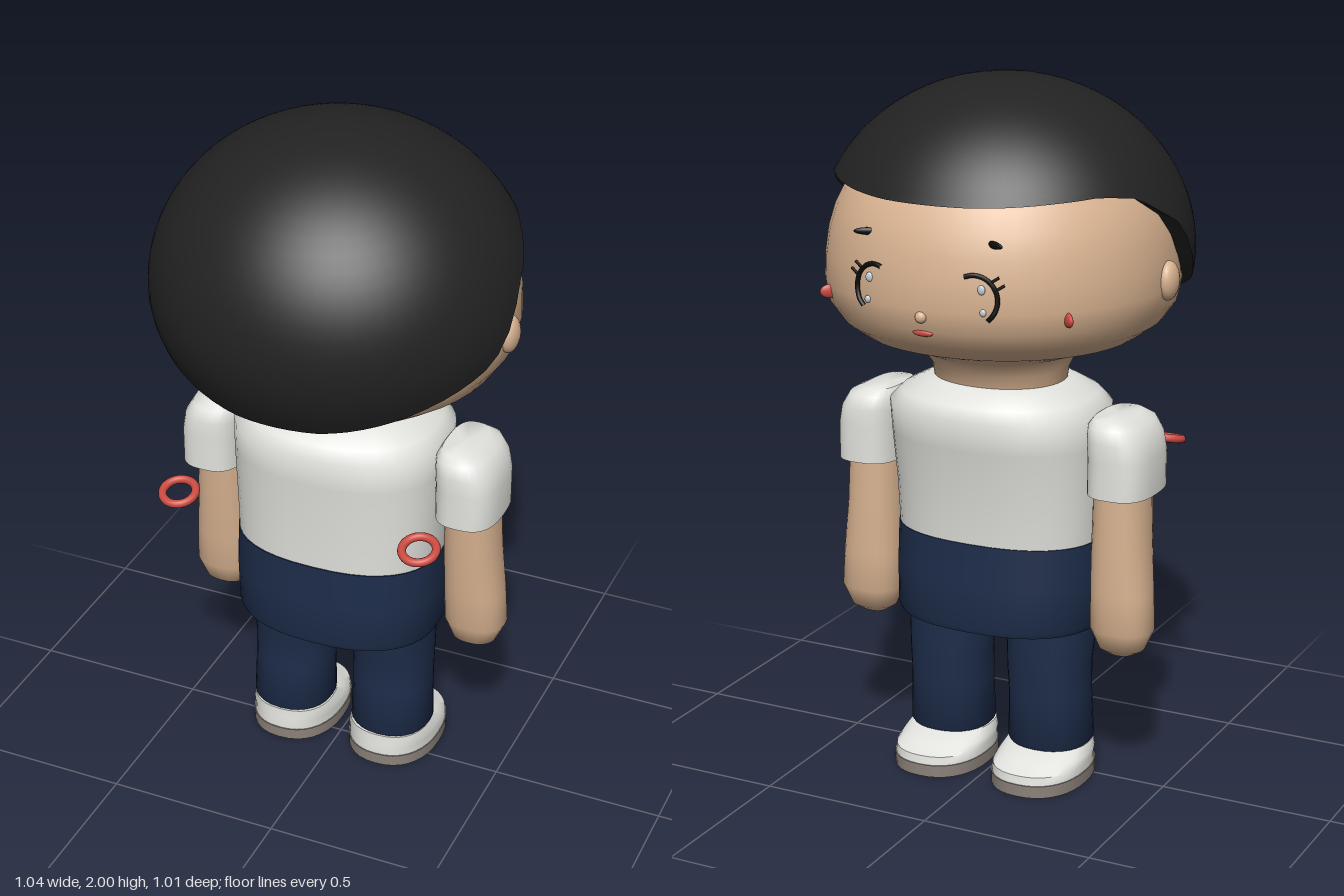
import * as THREE from 'three';
import { toCreasedNormals } from 'three/addons/utils/BufferGeometryUtils.js';

const mat = (name, color) => {
  const m = new THREE.MeshStandardMaterial({ color });
  m.name = name;
  return m;
};

// Closed skin over rows of points, listed from bottom to top
function skinRows(rows, crease) {
  const pos = [], n = rows[0].length;
  const same = (p, q) => p.distanceToSquared(q) < 1e-10;
  const tri = (a, b, c) => {
    if (same(a, b) || same(b, c) || same(a, c)) return;
    for (const p of [a, b, c]) pos.push(p.x, p.y, p.z);
  };
  for (let i = 0; i < rows.length - 1; i++) {
    for (let j = 0; j < n; j++) {
      const k = (j + 1) % n;
      tri(rows[i][j], rows[i + 1][j], rows[i][k]);
      tri(rows[i][k], rows[i + 1][j], rows[i + 1][k]);
    }
  }
  const g = new THREE.BufferGeometry();
  g.setAttribute('position', new THREE.Float32BufferAttribute(pos, 3));
  return toCreasedNormals(g, crease);
}

// Loft of superellipse sections [y, centreX, centreZ, radiusX, radiusZ], capped at both ends
function loft(sections, power = 2, segs = 32, crease = 0.9) {
  const first = sections[0], last = sections[sections.length - 1];
  const all = [[first[0], first[1], first[2], 0, 0], ...sections, [last[0], last[1], last[2], 0, 0]];
  const pw = (v) => Math.sign(v) * Math.pow(Math.abs(v), 2 / power);
  return skinRows(all.map(([y, cx, cz, rx, rz]) =>
    Array.from({ length: segs }, (_, j) => {
      const t = (j / segs) * Math.PI * 2;
      return new THREE.Vector3(cx + rx * pw(Math.cos(t)), y, cz + rz * pw(Math.sin(t)));
    })), crease);
}

// Linear lookup in a table of [key, value] with rising keys
function lookup(table, k) {
  if (k <= table[0][0]) return table[0][1];
  for (let i = 1; i < table.length; i++) {
    const [k0, v0] = table[i - 1], [k1, v1] = table[i];
    if (k <= k1) return v0 + ((v1 - v0) * (k - k0)) / (k1 - k0);
  }
  return table[table.length - 1][1];
}

// Head profile [y, radius]
const HEAD = [[1.14, 0.185], [1.2, 0.195], [1.245, 0.215], [1.27, 0.29], [1.3, 0.385], [1.34, 0.44], [1.39, 0.475],
  [1.45, 0.486], [1.52, 0.483], [1.59, 0.473], [1.65, 0.455], [1.71, 0.425], [1.8, 0.35], [1.88, 0.22], [1.93, 0.05]];
const HEAD_Z = -0.01, HEAD_POWER = 2.1;

// Depth of the face surface at a given point
function faceZ(x, y) {
  const r = lookup(HEAD, y);
  return HEAD_Z - Math.pow(Math.pow(r, HEAD_POWER) - Math.pow(Math.abs(x), HEAD_POWER), 1 / HEAD_POWER);
}

// Hairline height by depth, from brow to nape
const HAIRLINE = [[-0.46, 1.72], [-0.36, 1.73], [-0.26, 1.737], [-0.15, 1.722], [-0.07, 1.675], [0.015, 1.63],
  [0.085, 1.53], [0.14, 1.46], [0.3, 1.385], [0.46, 1.305]];

function hairGeometry() {
  const segs = 72, steps = 22, rows = [];
  for (let i = -1; i <= steps; i++) {
    rows.push(Array.from({ length: segs }, (_, j) => {
      const t = (j / segs) * Math.PI * 2;
      const bottom = lookup(HAIRLINE, 0.475 * Math.sin(t));
      const phi = Math.acos((bottom - 1.53) / 0.47) * (1 - Math.max(i, 0) / steps);
      const y = 1.53 + 0.47 * Math.cos(phi);
      let r = y > 1.53 ? 0.52 * Math.sin(phi) : 0.52 - 1.5 * (1.53 - y) ** 2;
      if (i < 0) r -= 0.06; // lip turned in towards the head
      return new THREE.Vector3(1.01 * r * Math.cos(t), y + (i < 0 ? 0.015 : 0), 0.97 * r * Math.sin(t));
    }));
  }
  return skinRows(rows, 0.8);
}

export function createModel() {
  const model = new THREE.Group();
  model.name = 'child';
  const skin = mat('skin', 0xd9b391), hair = mat('hair black', 0x222222), shirt = mat('shirt white', 0xe2e2de);
  const navy = mat('trouser navy', 0x1d2c49), sole = mat('sole taupe', 0x8f857d), red = mat('red', 0xcb4a40);
  const ink = mat('eye black', 0x0c0c0c), shine = mat('eye shine', 0xc3ccd6);

  const add = (name, geo, material, parent = model) => {
    const m = new THREE.Mesh(geo, material);
    m.name = name;
    parent.add(m);
    return m;
  };
  const blob = (name, material, p, s, parent = model) => {
    const m = add(name, new THREE.SphereGeometry(1, 20, 14), material, parent);
    m.position.set(...p);
    m.scale.set(...s);
    return m;
  };

  // Head, hair, nose and mouth
  add('head', loft(HEAD.map(([y, r]) => [y, 0, HEAD_Z - (y < 1.26 ? 0.02 : 0), r, r * (y < 1.22 ? 0.85 : 1)]),
    HEAD_POWER, 48, 1.3), skin);
  add('hair', hairGeometry(), hair);
  blob('nose', skin, [0, 1.43, faceZ(0, 1.43)], [0.016, 0.016, 0.014]);
  blob('mouth', red, [0, 1.385, faceZ(0, 1.385)], [0.03, 0.009, 0.008]);

  // Shirt body and trouser top
  add('shirt', loft([[0.71, 0, -0.012, 0.3, 0.215], [0.85, 0, -0.015, 0.305, 0.222], [1.0, 0, -0.023, 0.31, 0.243],
    [1.09, 0, -0.028, 0.31, 0.256], [1.125, 0, -0.03, 0.275, 0.235], [1.165, 0, -0.033, 0.2, 0.178]], 2.4, 40), shirt);
  add('trouserTop', loft([[0.465, 0, -0.015, 0.295, 0.225], [0.48, 0, -0.015, 0.303, 0.23],
    [0.6, 0, -0.013, 0.307, 0.225], [0.722, 0, -0.012, 0.304, 0.219]], 2.4, 40), navy);

  for (const s of [1, -1]) {
    const side = new THREE.Group();
    side.name = s > 0 ? 'leftSide' : 'rightSide';
    model.add(side);

    // Ear, brow and cheek
    blob('ear', skin, [s * 0.487, 1.475, 0], [0.028, 0.054, 0.043], side);
    const brow = blob('brow', ink, [s * 0.185, 1.63, faceZ(0.185, 1.63) - 0.002], [0.037, 0.01, 0.007], side);
    brow.rotation.y = s * 0.42;
    const cheek = blob('cheek', red, [s * 0.355, 1.43, faceZ(0.355, 1.43)], [0.03, 0.02, 0.01], side);
    cheek.rotation.y = s * 0.78;

    // Closed eye arc with lashes and glints
    const arc = [];
    for (let i = 0; i <= 10; i++) {
      const a = 1.95 - (2.85 * i) / 10;
      const x = 0.145 + 0.062 * Math.cos(a), y = 1.487 + 0.066 * Math.sin(a);
      arc.push(new THREE.Vector3(s * x, y, faceZ(x, y) - 0.005));
    }
    add('eyeArc', new THREE.TubeGeometry(new THREE.CatmullRomCurve3(arc), 30, 0.0065, 8), ink, side);
    for (const [x, y] of [[0.188, 1.535], [0.202, 1.515]]) {
      const lash = [new THREE.Vector3(s * x, y, faceZ(x, y) - 0.006),
        new THREE.Vector3(s * (x + 0.024), y + 0.016, faceZ(x + 0.024, y + 0.016) - 0.012)];
      add('lash', new THREE.TubeGeometry(new THREE.LineCurve3(...lash), 1, 0.004, 6), ink, side);
    }
    blob('eyeGlint', shine, [s * 0.165, 1.515, faceZ(0.165, 1.515)], [0.011, 0.013, 0.006], side);
    blob('eyeGlint', shine, [s * 0.17, 1.455, faceZ(0.17, 1.455)], [0.009, 0.01, 0.006], side);

    // Arm and sleeve
    add('arm', loft([[0.413, s * 0.393, -0.063, 0.035, 0.03], [0.432, s * 0.395, -0.065, 0.065, 0.055],
      [0.49, s * 0.396, -0.066, 0.09, 0.076], [0.6, s * 0.392, -0.062, 0.087, 0.082],
      [0.75, s * 0.386, -0.053, 0.08, 0.09], [0.95, s * 0.383, -0.045, 0.073, 0.095]], 2.3, 24), skin, side);
    add('sleeve', loft([[0.885, s * 0.389, -0.033, 0.092, 0.131], [0.99, s * 0.389, -0.033, 0.092, 0.131],
      [1.04, s * 0.383, -0.033, 0.088, 0.131], [1.08, s * 0.372, -0.033, 0.075, 0.122],
      [1.098, s * 0.36, -0.033, 0.05, 0.1]], 2.8, 32), shirt, side);

    // Leg and shoe
    add('leg', loft([[0.095, s * 0.158, -0.023, 0.112, 0.112], [0.108, s * 0.158, -0.023, 0.12, 0.12],
      [0.25, s * 0.157, -0.028, 0.117, 0.114], [0.34, s * 0.156, -0.032, 0.12, 0.114],
      [0.42, s * 0.156, -0.022, 0.125, 0.123], [0.52, s * 0.156, -0.022, 0.125, 0.123]], 2.2, 28), navy, side);
    add('sole', loft([[0, s * 0.156, -0.07, 0.134, 0.175], [0.036, s * 0.156, -0.07, 0.135, 0.177]], 2.3, 36), sole, side);
    add('shoe', loft([[0.034, s * 0.156, -0.07, 0.132, 0.174], [0.06, s * 0.156, -0.068, 0.131, 0.171],
      [0.076, s * 0.156, -0.045, 0.129, 0.145], [0.1, s * 0.156, -0.022, 0.118, 0.12]], 2.3, 36), shirt, side);

    // Loose red hoop behind the back
    const hoop = add('hoop', new THREE.TorusGeometry(0.047, 0.012, 12, 32), red, side);
    hoop.position.set(s * 0.36, 0.937, 0.3);
    hoop.rotation.x = Math.PI / 2 + 0.27;
  }
  return model;
}
